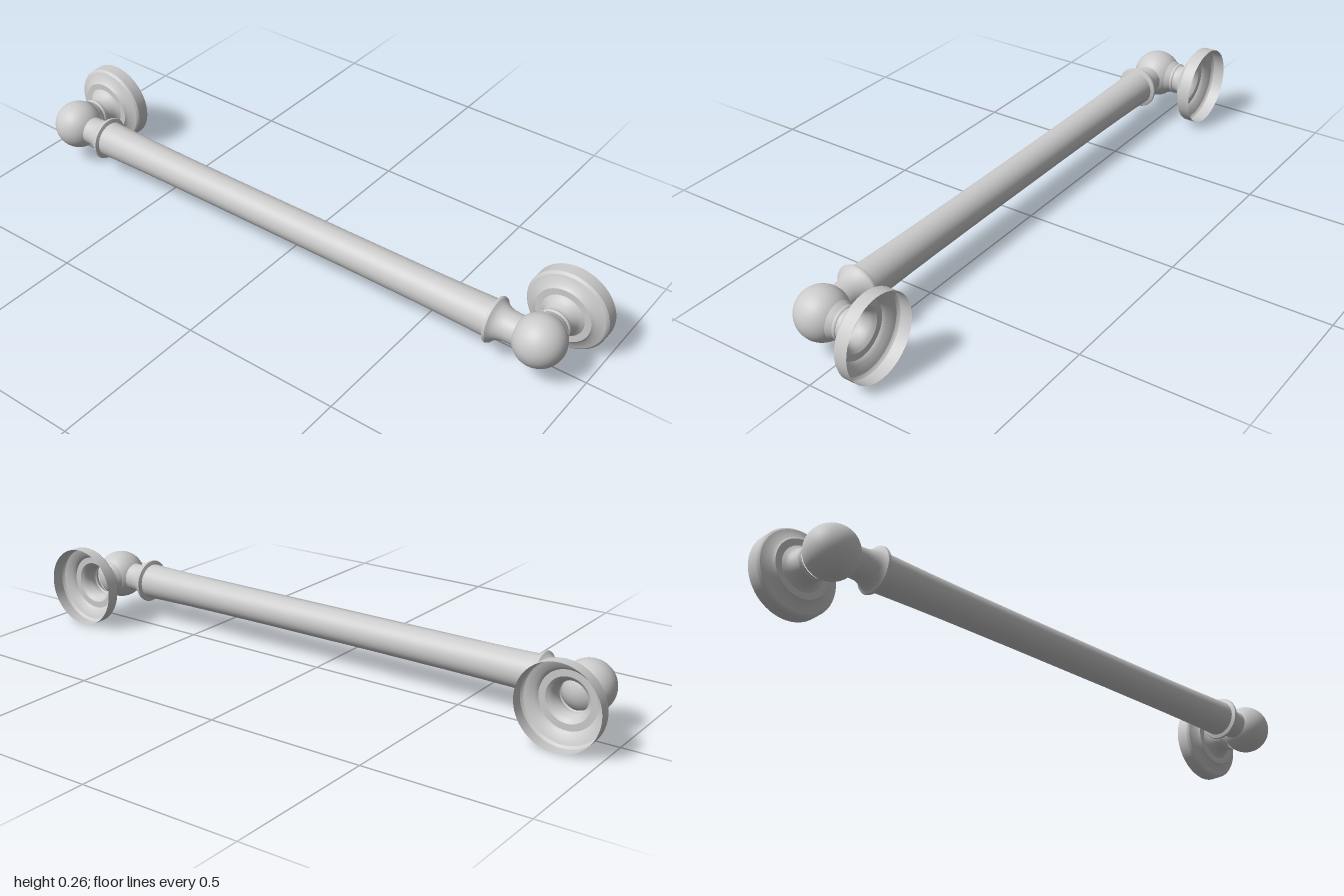
import * as THREE from 'three';

const material = new THREE.MeshStandardMaterial({ color: 0xcccccc, side: THREE.DoubleSide });
const CENTRE_Y = 0.129, AXIS_X = -0.058, POST_Z = 0.872;

// Turned part from [radius, height, sharp] points; a repeated point keeps its edge sharp.
function turned(name, points, segments = 64) {
  const profile = [];
  for (const [r, h, sharp] of points) {
    profile.push(new THREE.Vector2(r, h));
    if (sharp) profile.push(new THREE.Vector2(r, h));
  }
  const mesh = new THREE.Mesh(new THREE.LatheGeometry(profile, segments), material);
  mesh.name = name;
  return mesh;
}

// Wall post: ball, beaded neck and a hollow flange opening towards +x.
function createPost(name) {
  const post = new THREE.Group();
  post.name = name;

  const ball = new THREE.Mesh(new THREE.SphereGeometry(0.0775, 48, 32), material);
  ball.name = 'ball';
  post.add(ball);

  const flange = turned('wallFlange', [
    [0.056, 0.056], [0.051, 0.066], [0.047, 0.073, true],
    [0.050, 0.075], [0.051, 0.079], [0.050, 0.083], [0.047, 0.085, true],
    [0.046, 0.091], [0.047, 0.099], [0.050, 0.108], [0.054, 0.116],
    [0.059, 0.122], [0.067, 0.128, true],
    [0.087, 0.128, true], [0.091, 0.133], [0.097, 0.137], [0.104, 0.141],
    [0.112, 0.145], [0.121, 0.148, true], [0.125, 0.151],
    [0.128, 0.156, true], [0.128, 0.194],
  ]);
  flange.rotation.z = -Math.PI / 2;
  post.add(flange);
  return post;
}

export function createModel() {
  const model = new THREE.Group();
  model.name = 'grabBar';

  // Long rail, swelling slightly towards the ends
  const rail = turned('rail', [
    [0.057, -0.73], [0.055, -0.66], [0.053, -0.55], [0.052, -0.44], [0.051, -0.2],
    [0.051, 0.2], [0.052, 0.44], [0.053, 0.55], [0.055, 0.66], [0.057, 0.73],
  ]);
  rail.rotation.x = Math.PI / 2;
  rail.position.set(AXIS_X, CENTRE_Y, 0);
  model.add(rail);

  for (const side of [1, -1]) {
    const end = side > 0 ? 'front' : 'back';
    const post = createPost(end + 'Post');
    post.position.set(AXIS_X, CENTRE_Y, side * POST_Z);
    model.add(post);

    // Flared collar between rail and ball
    const collar = turned(end + 'Collar', [
      [0.054, 0.724], [0.060, 0.726], [0.068, 0.729, true], [0.070, 0.733], [0.068, 0.738, true],
      [0.060, 0.744], [0.054, 0.752], [0.049, 0.763], [0.046, 0.776],
      [0.045, 0.79], [0.045, 0.812],
    ]);
    collar.rotation.x = side * Math.PI / 2;
    collar.position.set(AXIS_X, CENTRE_Y, 0);
    model.add(collar);
  }
  return model;
}
